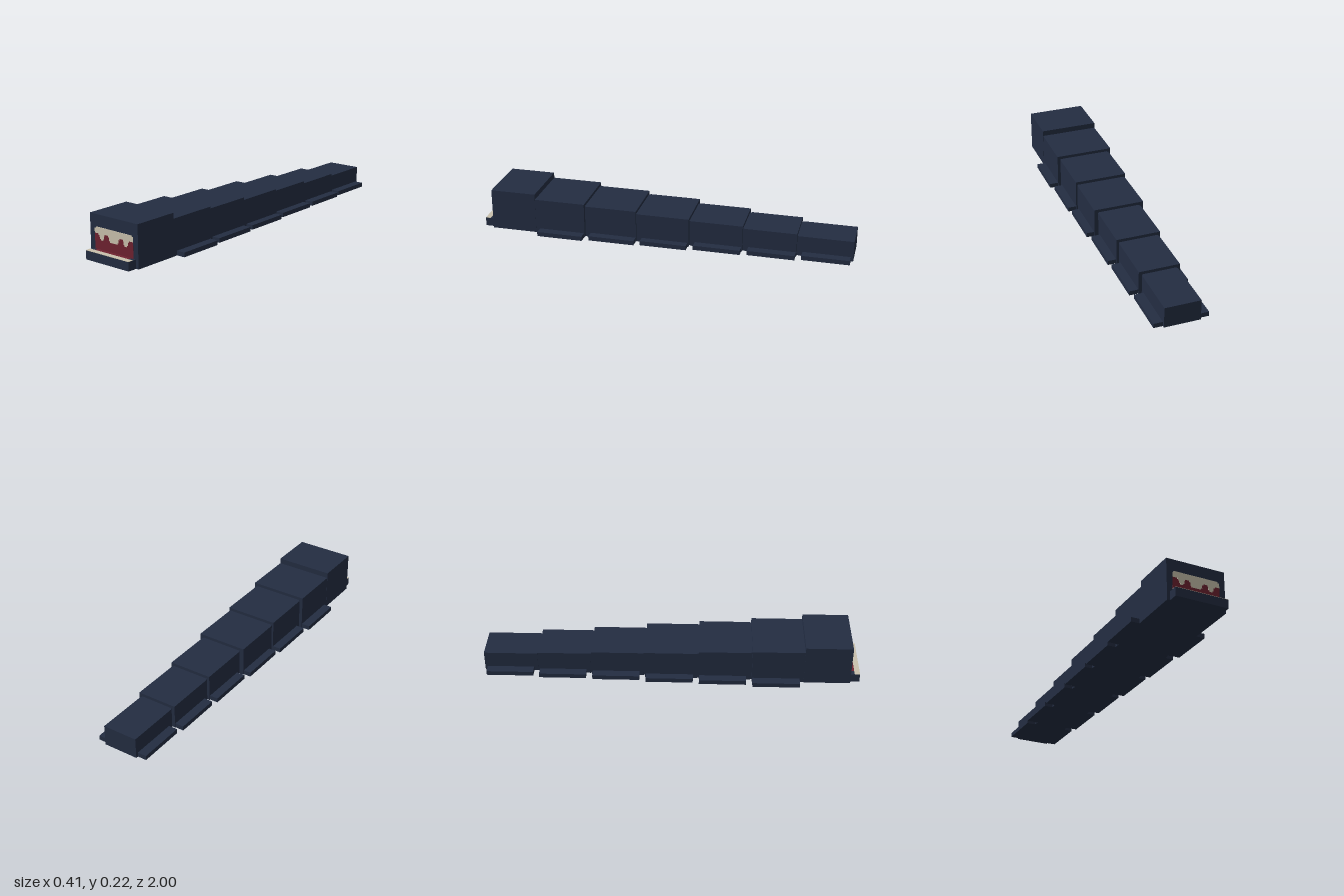
import * as THREE from 'three';

export function createModel() {
  const model = new THREE.Group();
  model.name = 'segmentedCrawler';
  const mat = (name, color) => {
    const m = new THREE.MeshStandardMaterial({ color });
    m.name = name;
    return m;
  };
  const navy = mat('navy hide', 0x232d42);
  const cream = mat('cream teeth', 0xc9c1ad);
  const red = mat('dark red mouth', 0x6f2230);

  // Box given by half width, bottom/top and back/front limits
  const box = (name, material, half, y0, y1, z0, z1, parent = model) => {
    const mesh = new THREE.Mesh(new THREE.BoxGeometry(half * 2, y1 - y0, z1 - z0), material);
    mesh.position.set(0, (y0 + y1) / 2, (z0 + z1) / 2);
    mesh.name = name;
    parent.add(mesh);
    return mesh;
  };

  // Head and protruding lower jaw
  box('head', navy, 0.158, 0, 0.221, 0.703, 0.95);
  box('lowerJaw', navy, 0.142, 0, 0.046, 0.95, 1);
  box('tongue', red, 0.112, 0.046, 0.047, 0.95, 0.972);
  box('lowerTeeth', cream, 0.142, 0.046, 0.048, 0.972, 1);

  // Mouth painted on the face
  box('mouth', red, 0.127, 0.046, 0.15, 0.95, 0.951);

  // Upper teeth: stepped outline, mirrored about the middle
  const steps = [
    [0.025, 0.095], [0.032, 0.102], [0.039, 0.12], [0.061, 0.127], [0.065, 0.12],
    [0.071, 0.102], [0.087, 0.095], [0.094, 0.102], [0.102, 0.12], [0.127, 0.127],
  ];
  const right = [];
  let x = 0;
  for (const [end, y] of steps) {
    right.push([x, y], [end, y]);
    x = end;
  }
  right.push([0.127, 0.152], [0.119, 0.152], [0.119, 0.159]);
  const left = right.slice(1).reverse().map(([px, py]) => [-px, py]);
  const outline = new THREE.Shape([...right, ...left].map(p => new THREE.Vector2(...p)));
  const teeth = new THREE.Mesh(
    new THREE.ExtrudeGeometry(outline, { depth: 0.002, bevelEnabled: false }), cream);
  teeth.position.z = 0.95;
  teeth.name = 'upperTeeth';
  model.add(teeth);

  // Body segments tapering to the tail: front z, back z, half width, height, foot half width
  const segments = [
    [0.703, 0.42, 0.157, 0.191, 0.204],
    [0.42, 0.138, 0.143, 0.175, 0.188],
    [0.138, -0.147, 0.137, 0.159, 0.178],
    [-0.147, -0.432, 0.118, 0.143, 0.163],
    [-0.432, -0.715, 0.108, 0.127, 0.155],
    [-0.715, -1, 0.094, 0.111, 0.142],
  ];
  segments.forEach(([front, back, half, top, foot], i) => {
    const segment = new THREE.Group();
    segment.name = `bodySegment${i + 1}`;
    model.add(segment);
    const last = i === segments.length - 1;
    const end = last ? back : back + 0.008;
    box('segmentBody', navy, half, 0, top, end, front, segment);
    // Narrow joint to the next segment
    if (!last) box('joint', navy, segments[i + 1][2] - 0.004, 0, segments[i + 1][3], back, end, segment);
    // Flat feet sticking out on both sides
    for (const side of [-1, 1]) {
      const pad = new THREE.Mesh(new THREE.BoxGeometry(foot - half, 0.024, 0.25), navy);
      pad.position.set(side * (foot + half) / 2, 0.012, front - 0.147);
      pad.name = side > 0 ? 'leftFoot' : 'rightFoot';
      segment.add(pad);
    }
  });

  return model;
}
